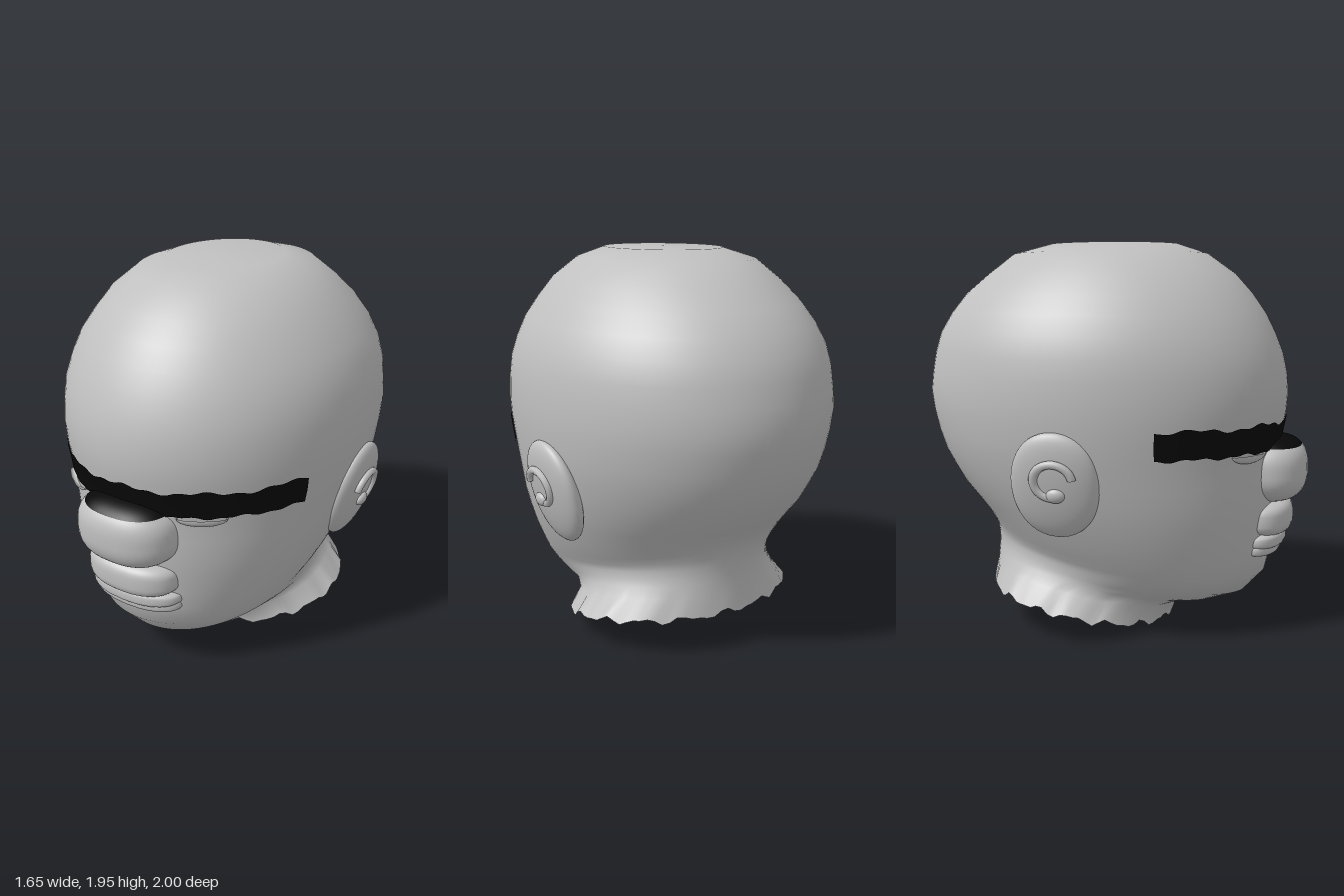
import * as THREE from 'three';
import { mergeVertices } from 'three/addons/utils/BufferGeometryUtils.js';

const skin = new THREE.MeshStandardMaterial({ color: 0xc0c0c0, side: THREE.DoubleSide });
skin.name = 'greySkin';
const black = new THREE.MeshStandardMaterial({ color: 0x080808, side: THREE.DoubleSide });
black.name = 'blackBand';

// Horizontal skull rings: height, front z, back z, half width
const SKULL = [
  [1.95, 0.32, -0.36, 0.28], [1.9, 0.47, -0.55, 0.42], [1.8, 0.61, -0.68, 0.54],
  [1.7, 0.70, -0.80, 0.62], [1.6, 0.77, -0.88, 0.69], [1.5, 0.82, -0.94, 0.735],
  [1.4, 0.86, -0.97, 0.763], [1.3, 0.882, -0.988, 0.772], [1.2, 0.89, -1.0, 0.776],
  [1.1, 0.882, -0.985, 0.77], [1.0, 0.862, -0.96, 0.758], [0.9, 0.85, -0.925, 0.74],
];
// Tilted jaw and neck rings: front z, front y, back z, back y, half width, side y
const JAW = [
  [0.85, 0.8, -0.88, 0.82, 0.715, 0.8], [0.85, 0.7, -0.83, 0.74, 0.69, 0.7],
  [0.84, 0.6, -0.76, 0.66, 0.655, 0.6], [0.83, 0.5, -0.71, 0.6, 0.615, 0.5],
  [0.82, 0.4, -0.68, 0.55, 0.57, 0.41], [0.79, 0.28, -0.66, 0.5, 0.54, 0.36],
  [0.70, 0.18, -0.65, 0.45, 0.52, 0.33], [0.55, 0.13, -0.645, 0.4, 0.51, 0.3],
  [0.42, 0.115, -0.645, 0.36, 0.505, 0.28], [0.33, 0.09, -0.645, 0.3, 0.53, 0.24],
  [0.30, 0.015, -0.655, 0.2, 0.61, 0.15],
];

// Point on a ring at angle t, measured from the front towards +x
function ringPoint([zf, yf, zb, yb, hw, ys], t) {
  const c = Math.cos(t);
  const y = ys + (yf - yb) / 2 * c + ((yf + yb) / 2 - ys) * c * c;
  return [hw * Math.sin(t), y, (zf + zb) / 2 + (zf - zb) / 2 * c];
}

// Join rows of points, listed top to bottom
function loft(rows, closed) {
  const n = rows[0].length, index = [];
  for (let i = 0; i < rows.length - 1; i++) {
    for (let j = 0; j < (closed ? n : n - 1); j++) {
      const k = (j + 1) % n;
      const a = i * n + j, b = i * n + k, c = a + n, d = b + n;
      index.push(a, c, b, b, c, d);
    }
  }
  const geo = new THREE.BufferGeometry();
  geo.setAttribute('position', new THREE.Float32BufferAttribute(rows.flat(2), 3));
  geo.setIndex(index);
  geo.computeVertexNormals();
  return geo;
}

function mesh(name, geo, mat) {
  const m = new THREE.Mesh(geo, mat);
  m.name = name;
  return m;
}

// Rounded block; bend pulls its sides back around the face
function blob(r, e, bend = 0, start = 0, end = Math.PI) {
  let geo = new THREE.SphereGeometry(1, 40, 24, 0, Math.PI * 2, start, end - start);
  geo.deleteAttribute('uv');
  geo.deleteAttribute('normal');
  const p = geo.attributes.position;
  const pow = v => Math.sign(v) * Math.abs(v) ** e;
  for (let i = 0; i < p.count; i++) {
    const y = p.getY(i), s = Math.sqrt(Math.max(0, 1 - y * y)) || 1e-6;
    const h = s ** e;
    const x = pow(p.getX(i) / s) * h * r[0];
    p.setXYZ(i, x, pow(y) * r[1], pow(p.getZ(i) / s) * h * r[2] - bend * x * x);
  }
  geo = mergeVertices(geo, 1e-5);
  geo.computeVertexNormals();
  return geo;
}

// Hollow head shell with a ragged open neck
function headShell() {
  const n = 96;
  const rings = [[-0.02, 1.952, -0.02, 1.952, 0, 1.952],
    ...SKULL.map(([y, f, b, w]) => [f, y, b, y, w, y]), ...JAW];
  const rows = rings.map((ring, i) => Array.from({ length: n }, (_, j) => {
    const t = j / n * Math.PI * 2, p = ringPoint(ring, t);
    if (i === rings.length - 1) {
      p[1] = Math.max(0, p[1] + 0.013 * Math.sin(t * 17) + 0.008 * Math.sin(t * 29 + 1));
    }
    return p;
  }));
  return loft(rows, true);
}

// Painted strip following the skull, offset by a small gap
function eyeBand(gap) {
  const n = 120, half = 1.14;
  const at = (y, t) => {
    const i = SKULL.findIndex(s => s[0] <= y);
    const a = SKULL[i - 1], b = SKULL[i], k = (a[0] - y) / (a[0] - b[0]);
    const [, f, back, w] = a.map((v, q) => v + (b[q] - v) * k);
    return ringPoint([f + gap, y, back - gap, y, w + gap, y], t);
  };
  const rows = [0, 0.25, 0.5, 0.75, 1].map(k => Array.from({ length: n + 1 }, (_, j) => {
    const t = (j / n * 2 - 1) * half;
    const top = 1.072 + 0.009 * Math.sin(t * 13 + 1) + 0.006 * Math.sin(t * 37);
    const low = 0.937 + 0.005 * Math.sin(t * 19) + 0.004 * Math.sin(t * 43);
    return at(top + (low - top) * k, t);
  }));
  return loft(rows, false);
}

// Ear: shallow disc on the skull with a curled inner rim
function ear(side) {
  const g = new THREE.Group();
  g.name = side > 0 ? 'leftEar' : 'rightEar';
  const disc = mesh('earDisc', blob([0.07, 0.265, 0.215], 0.95), skin);
  const rim = mesh('earRim', new THREE.TorusGeometry(0.085, 0.02, 8, 28, 4.6), skin);
  rim.rotation.set(0, Math.PI / 2, 0);
  rim.rotation.z = -1.6;
  rim.scale.y = 1.1;
  rim.position.set(0.065, 0.05, 0.01);
  const lobe = mesh('earInnerFold', blob([0.025, 0.035, 0.045], 1), skin);
  lobe.position.set(0.07, -0.02, 0.02);
  g.add(disc, rim, lobe);
  g.position.set(side * 0.708, 0.81, -0.13);
  g.rotation.z = -side * 0.24;
  g.scale.x = side;
  return g;
}

export function createModel() {
  const model = new THREE.Group();
  model.name = 'head';
  const add = (name, geo, mat, x, y, z) => {
    const m = mesh(name, geo, mat);
    m.position.set(x, y, z);
    model.add(m);
    return m;
  };

  add('headShell', headShell(), skin, 0, 0, 0);
  add('eyeBand', eyeBand(0.006), black, 0, 0, 0);
  add('eyeBandInside', eyeBand(-0.006), black, 0, 0, 0);

  // Nose, its top covered by the band
  const cut = 0.891;
  add('nose', blob([0.27, 0.17, 0.2], 0.75, 0.4, cut), skin, 0, 0.82, 0.8);
  add('noseBand', blob([0.27, 0.17, 0.2], 0.75, 0.4, 0, cut), black, 0, 0.82, 0.8);

  // Mouth
  add('muzzle', blob([0.255, 0.09, 0.14], 0.6, 0.8), skin, 0, 0.575, 0.79);
  add('upperLip', blob([0.26, 0.045, 0.11], 0.6, 0.8), skin, 0, 0.468, 0.785);
  add('lowerLip', blob([0.255, 0.04, 0.085], 0.6, 0.8), skin, 0, 0.425, 0.785);

  // Lower eyelids and ears
  for (const side of [1, -1]) {
    const lid = add(side > 0 ? 'leftEyelid' : 'rightEyelid',
      blob([0.12, 0.042, 0.03], 1, 0, Math.PI / 2), skin, side * 0.37, 0.935, 0.735);
    lid.rotation.y = side * 0.59;
    model.add(ear(side));
  }
  return model;
}
